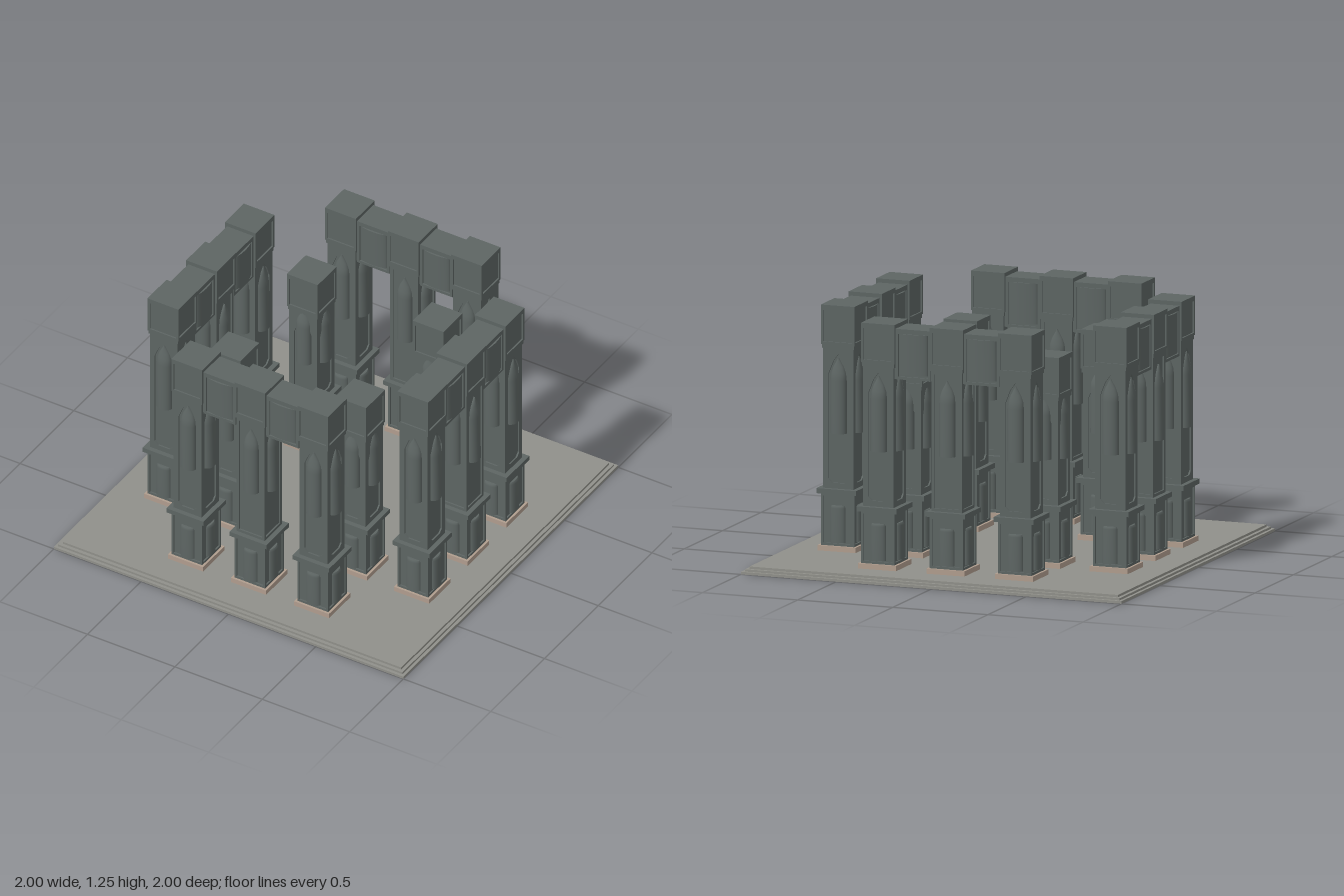
import * as THREE from 'three';

const stone = new THREE.MeshStandardMaterial({ color: 0x5d6563 });
stone.name = 'dark stone';
const paving = new THREE.MeshStandardMaterial({ color: 0x90908a });
paving.name = 'paving grey';
const sand = new THREE.MeshStandardMaterial({ color: 0xb09d8e });
sand.name = 'sand stone';

function add(parent, name, geometry, material = stone) {
  const mesh = new THREE.Mesh(geometry, material);
  mesh.name = name;
  parent.add(mesh);
  return mesh;
}

// Square slab of half-width h between two heights
function slab(parent, name, h, y0, y1, material) {
  return add(parent, name, new THREE.BoxGeometry(2 * h, y1 - y0, 2 * h).translate(0, (y0 + y1) / 2, 0), material);
}

// Raised border with a recessed opening; chamfer cuts the opening's corners, point peaks its top
function frame(w, y0, y1, border, depth, chamfer = 0, point = 0) {
  const shape = new THREE.Shape([[-w, y0], [w, y0], [w, y1], [-w, y1]].map(p => new THREE.Vector2(...p)));
  const a = w - border, b = y0 + border, t = y1 - border, c = chamfer;
  const pts = c
    ? [[-a + c, b], [a - c, b], [a, b + c], [a, t - point], [a * 0.5, t - point * 0.35], [0, t], [-a * 0.5, t - point * 0.35], [-a, t - point], [-a, b + c]]
    : [[-a, b], [a, b], [a, t], [-a, t]];
  shape.holes.push(new THREE.Path(pts.map(p => new THREE.Vector2(...p))));
  return new THREE.ExtrudeGeometry(shape, { depth, bevelEnabled: false });
}

// Half-elliptical relief lofted through [height, half-width, projection] levels
function relief(levels, n = 12) {
  const pos = [], idx = [];
  for (const [y, w, d] of levels)
    for (let i = 0; i <= n; i++) {
      const a = Math.PI * i / n;
      pos.push(-w * Math.cos(a), y, d * Math.sin(a));
    }
  const row = n + 1;
  for (let k = 0; k < levels.length - 1; k++)
    for (let i = 0; i < n; i++) {
      const a = k * row + i, b = a + 1, c = a + row, d = c + 1;
      idx.push(a, b, c, b, d, c);
    }
  // End caps with their own vertices so the edges stay sharp
  for (const [k, top] of [[0, false], [levels.length - 1, true]]) {
    const s = pos.length / 3;
    for (let i = 0; i < row * 3; i++) pos.push(pos[k * row * 3 + i]);
    for (let i = 1; i < n; i++) top ? idx.push(s, s + i, s + i + 1) : idx.push(s, s + i + 1, s + i);
  }
  const g = new THREE.BufferGeometry();
  g.setAttribute('position', new THREE.Float32BufferAttribute(pos, 3));
  g.setIndex(idx);
  g.computeVertexNormals();
  return g;
}

// Pointed lancet relief from y0 to y1
function lancet(y0, y1) {
  const h = y1 - y0;
  return relief([[0, 0.042, 0.033], [0.7, 0.042, 0.03], [0.8, 0.038, 0.024], [0.88, 0.027, 0.017], [0.95, 0.012, 0.012], [1, 0.001, 0.008]]
    .map(([t, w, d]) => [y0 + t * h, w, d]));
}

// One pillar: height of its top, span of the lancets, arched or plain shaft panels
function pillar(top, low, high, arched) {
  const g = new THREE.Group();
  g.name = 'pillar';
  const capY = top - 0.195;
  slab(g, 'plinth', 0.1, 0.03, 0.062, sand);
  slab(g, 'pedestal', 0.08, 0.062, 0.32);
  slab(g, 'pedestalMoulding', 0.105, 0.32, 0.345);
  slab(g, 'shaft', 0.072, 0.345, capY);
  slab(g, 'neck', 0.084, capY - 0.02, capY + 0.005);
  slab(g, 'capital', 0.08, capY, top - 0.01);
  slab(g, 'capitalLid', 0.088, top - 0.012, top);

  const pedestalFrame = frame(0.088, 0.062, 0.32, 0.012, 0.008);
  const pedestalPanel = relief([[0.08, 0.04, 0.022], [0.25, 0.04, 0.022], [0.262, 0.035, 0.014]]);
  const shaftFrame = arched ? frame(0.08, 0.345, capY - 0.02, 0.028, 0.008, 0.02, 0.1) : frame(0.08, 0.345, capY - 0.02, 0.015, 0.008);
  const capitalFrame = frame(0.088, capY, top - 0.012, 0.013, 0.008);
  const lancetRelief = lancet(low, high);
  for (let i = 0; i < 4; i++) {
    const side = new THREE.Group();
    side.name = 'pillarFace';
    side.rotation.y = i * Math.PI / 2;
    add(side, 'pedestalFrame', pedestalFrame).position.z = 0.08;
    add(side, 'pedestalPanel', pedestalPanel).position.z = 0.078;
    add(side, 'shaftFrame', shaftFrame).position.z = 0.072;
    add(side, 'capitalFrame', capitalFrame).position.z = 0.08;
    add(side, 'lancetRelief', lancetRelief).position.z = 0.072;
    g.add(side);
  }
  return g;
}

// Lintel with a framed, gently bowed panel on both faces
function lintel() {
  const g = new THREE.Group();
  g.name = 'lintel';
  add(g, 'lintelBeam', new THREE.BoxGeometry(0.2, 0.24, 0.136).translate(0, 1.105, 0));
  add(g, 'lintelTop', new THREE.BoxGeometry(0.2, 0.012, 0.152).translate(0, 1.229, 0));
  const border = frame(0.092, 0.985, 1.225, 0.014, 0.008);
  const bow = relief([[1.01, 0.075, 0.019], [1.212, 0.075, 0.019]], 16);
  for (let i = 0; i < 2; i++) {
    const side = new THREE.Group();
    side.name = 'lintelFace';
    side.rotation.y = i * Math.PI;
    add(side, 'lintelFrame', border).position.z = 0.068;
    add(side, 'lintelPanel', bow).position.z = 0.067;
    g.add(side);
  }
  return g;
}

export function createModel() {
  const model = new THREE.Group();
  model.name = 'pillarCourt';

  // Stepped square platform
  slab(model, 'platformLower', 1, 0, 0.013, paving);
  slab(model, 'platformMiddle', 0.985, 0.013, 0.024, paving);
  slab(model, 'platformUpper', 0.968, 0.024, 0.036, paving);

  // Four colonnades of three linked pillars, with one shorter free pillar per corner
  const end = pillar(1.255, 0.62, 0.995, true);
  const middle = pillar(1.255, 0.62, 0.995, false);
  const inner = pillar(1.08, 0.57, 0.885, true);
  const link = lintel();
  for (let i = 0; i < 4; i++) {
    const row = new THREE.Group();
    row.name = 'colonnade';
    row.rotation.y = i * Math.PI / 2;
    const place = (part, x, z) => {
      const copy = part.clone();
      copy.position.set(x, 0, z);
      row.add(copy);
    };
    place(middle, 0, 0.715);
    for (const s of [-1, 1]) {
      place(end, s * 0.36, 0.715);
      place(link, s * 0.18, 0.715);
    }
    place(inner, 0.36, 0.36);
    model.add(row);
  }
  return model;
}
